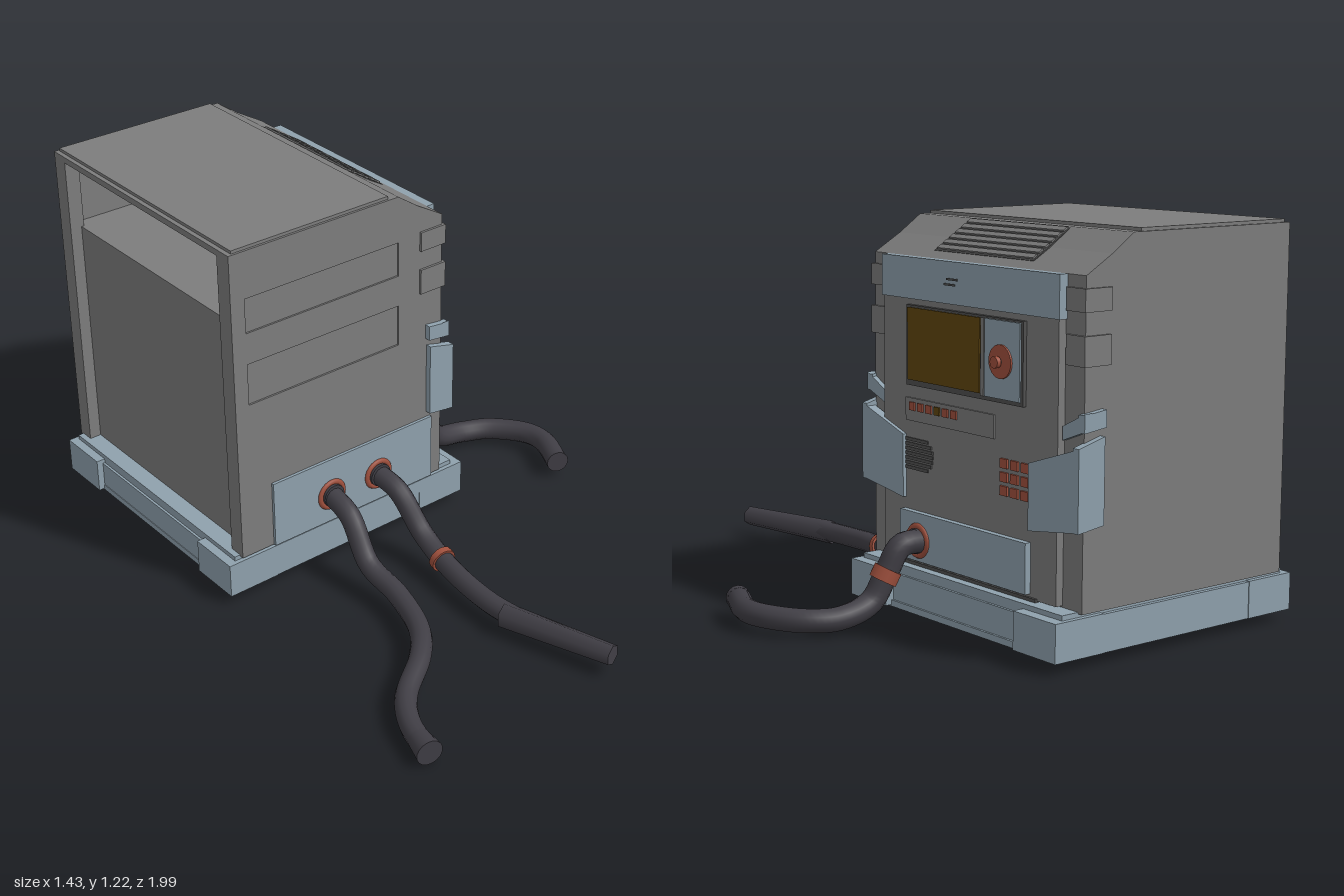
import * as THREE from 'three';

const mat = (name, color) => {
  const m = new THREE.MeshStandardMaterial({ color });
  m.name = name;
  return m;
};

export function createModel() {
  const gray = mat('casing gray', 0x7d7d7d);
  const blue = mat('pale blue metal', 0x8fa1ad);
  const dark = mat('dark rubber', 0x403e45);
  const copper = mat('copper red', 0xa0503d);
  const amber = mat('amber screen', 0x60460f);
  const slate = mat('slot gray', 0x505050);
  const root = new THREE.Group();

  const add = (name, geo, material, parent = root) => {
    const m = new THREE.Mesh(geo, material);
    m.name = name;
    parent.add(m);
    return m;
  };
  // box from its limits on each axis
  const box = (name, material, x0, x1, y0, y1, z0, z1, parent = root) => {
    const m = add(name, new THREE.BoxGeometry(x1 - x0, y1 - y0, z1 - z0), material, parent);
    m.position.set((x0 + x1) / 2, (y0 + y1) / 2, (z0 + z1) / 2);
    return m;
  };
  const toPoints = pts => pts.map(p => new THREE.Vector2(...p));
  const extrude = (pts, depth, holes = []) => {
    const shape = new THREE.Shape(toPoints(pts));
    shape.holes = holes.map(h => new THREE.Path(toPoints(h)));
    return new THREE.ExtrudeGeometry(shape, { depth, bevelEnabled: false });
  };
  // side outline (x, y) extruded along z
  const prismZ = (name, material, pts, z0, z1, holes) =>
    add(name, extrude(pts, z1 - z0, holes).translate(0, 0, z0), material);
  // outline (-z, y) extruded along x
  const prismX = (name, material, pts, x0, x1) =>
    add(name, extrude(pts, x1 - x0).rotateY(Math.PI / 2).translate(x0, 0, 0), material);

  // Base tray with corner blocks and rails
  box('baseFoot', blue, -0.66, 0.25, 0.03, 0.05, -0.96, -0.04);
  box('baseTray', blue, -0.65, 0.235, 0.05, 0.165, -0.965, -0.035);
  box('baseRail', blue, -0.658, 0.243, 0.045, 0.135, -0.97, -0.03);
  for (const [x0, x1] of [[-0.68, -0.5], [0.09, 0.272]])
    for (const [z0, z1] of [[-0.98, -0.8], [-0.2, -0.02]])
      box('baseCorner', blue, x0, x1, 0.035, 0.15, z0, z1);
  box('baseFrontRail', blue, -0.6, 0.2, 0.035, 0.148, -0.04, -0.022);
  box('baseBackRail', blue, -0.6, 0.2, 0.035, 0.148, -0.978, -0.96);

  // Casing: core with a shelf recess at the rear, between two side walls
  const slope = [[0.175, 1.105], [0.08, 1.16], [0, 1.215], [-0.63, 1.215]];
  prismZ('casingCore', gray, [[-0.59, 0.16], [0.175, 0.16], ...slope,
    [-0.63, 1.195], [-0.3, 1.195], [-0.3, 0.96], [-0.59, 0.96]], -0.96, -0.04);
  const wall = [[-0.63, 0.16], [0.175, 0.16], ...slope];
  // the left wall has two shallow sunk panels
  const sunk = [[0.945, 1.06], [0.7, 0.84]].map(([y0, y1]) =>
    [[-0.58, y0], [-0.58, y1], [0, y1], [0, y0]]);
  prismZ('leftWall', gray, wall, -0.04, -0.026);
  prismZ('leftWallSkin', gray, wall, -0.026, -0.02, sunk);
  prismZ('rightWall', gray, wall, -0.98, -0.96);
  for (const z of [-0.96, -0.08])
    box('rearRim', gray, -0.63, -0.58, 0.16, 1.2, z, z + 0.04);
  box('topPlate', gray, -0.615, -0.035, 1.21, 1.225, -0.972, -0.028);
  box('hosePlate', blue, -0.51, 0.13, 0.16, 0.39, -0.022, -0.01);

  // Control face
  box('controlFace', gray, 0.17, 0.2, 0.17, 1.0, -0.9, -0.1);
  box('headerPlate', blue, 0.165, 0.204, 0.98, 1.105, -0.905, -0.093);
  box('headerMark', slate, 0.2, 0.207, 1.05, 1.056, -0.46, -0.41);
  box('headerMark', slate, 0.2, 0.207, 1.034, 1.04, -0.45, -0.4);
  box('hoseSocketPlate', blue, 0.19, 0.22, 0.185, 0.335, -0.79, -0.205);
  box('lowerSill', slate, 0.19, 0.208, 0.166, 0.176, -0.82, -0.18);

  // Screen and dial
  box('screenBezel', slate, 0.19, 0.212, 0.72, 0.963, -0.765, -0.228);
  box('screen', amber, 0.21, 0.216, 0.737, 0.956, -0.576, -0.236);
  box('screenDivider', gray, 0.21, 0.215, 0.73, 0.957, -0.594, -0.58);
  box('dialPlate', blue, 0.21, 0.217, 0.732, 0.957, -0.755, -0.6);
  const turned = (name, r, len, x, material) => {
    const m = add(name, new THREE.CylinderGeometry(r, r, len, 24), material);
    m.rotation.z = -Math.PI / 2;
    m.position.set(x, 0.84, -0.675);
  };
  turned('dial', 0.049, 0.01, 0.218, copper);
  turned('dialStem', 0.009, 0.016, 0.226, slate);
  turned('dialKnob', 0.017, 0.014, 0.238, copper);

  // Button strip, keypad and speaker
  box('buttonStrip', gray, 0.195, 0.206, 0.61, 0.68, -0.63, -0.215);
  for (let i = 0; i < 6; i++) {
    const z = -0.25 - i * 0.04;
    box('button', i === 3 ? amber : copper, 0.203, 0.211, 0.643, 0.668, z - 0.013, z + 0.013);
  }
  for (let r = 0; r < 3; r++) for (let c = 0; c < 3; c++) {
    const z = -0.675 - c * 0.046, y = 0.545 - r * 0.04;
    box('key', copper, 0.198, 0.207, y - 0.014, y + 0.014, z - 0.016, z + 0.016);
  }
  for (let i = 0; i < 7; i++) {
    const y = 0.465 + i * 0.0145, cut = 0.05 - Math.sqrt(0.0025 - ((i - 3) * 0.0145) ** 2);
    box('speakerSlot', slate, 0.198, 0.204, y - 0.005, y + 0.005, -0.345 + cut, -0.21);
  }

  // Slatted vent set into the sloped top edge
  const vent = new THREE.Group();
  vent.name = 'topVent';
  vent.position.set(0.071, 1.167, -0.5);
  vent.rotation.z = -Math.atan2(0.11, 0.175);
  root.add(vent);
  box('ventBed', slate, -0.083, 0.083, -0.01, 0.003, -0.225, 0.225, vent);
  for (let i = 0; i < 6; i++) {
    const x = -0.068 + i * 0.027;
    box('ventSlat', gray, x - 0.009, x + 0.009, 0, 0.008, -0.218, 0.218, vent);
  }

  // Corner blocks and wrap-round brackets on both edges of the control face
  for (const far of [false, true]) {
    const u = pts => pts.map(([a, y]) => [far ? 1 - a : a, y]);
    const zr = (a, b) => far ? [-1 + a, -1 + b] : [-b, -a];
    for (const [y0, y1] of [[1.005, 1.07], [0.855, 0.94]])
      box('cornerBlock', gray, 0.085, 0.184, y0, y1, ...zr(0.012, 0.09));
    prismX('bracketFace', blue, u([[0, 0.635], [0.21, 0.565], [0.21, 0.37], [0, 0.4]]), 0.18, 0.212);
    prismZ('bracketReturn', blue, [[0.115, 0.66], [0.212, 0.635], [0.212, 0.397], [0.115, 0.41]], ...zr(0, 0.025));
    prismX('clipFace', blue, u([[0, 0.73], [0.09, 0.685], [0.09, 0.645], [0, 0.68]]), 0.165, 0.192);
    prismZ('clipReturn', blue, [[0.11, 0.735], [0.192, 0.725], [0.192, 0.675], [0.11, 0.685]], ...zr(0, 0.025));
  }

  // Hoses: tube along a curve, with collars set along it
  const hose = (name, pts, r) => {
    const curve = new THREE.CatmullRomCurve3(pts.map(p => new THREE.Vector3(...p)));
    add(name, new THREE.TubeGeometry(curve, 48, r, 12), dark);
    return curve;
  };
  const collar = (name, curve, t, r0, r1, len, material) => {
    const m = add(name, new THREE.CylinderGeometry(r1, r0, len, 16), material);
    m.position.copy(curve.getPointAt(t));
    m.quaternion.setFromUnitVectors(new THREE.Vector3(0, 1, 0), curve.getTangentAt(t));
  };
  const socket = (x, y, z, turn) => {
    const ring = add('socketRing', new THREE.TorusGeometry(0.045, 0.01, 8, 24), copper);
    ring.scale.z = 0.7;
    ring.position.set(x, y, z);
    ring.rotation.y = turn;
    const plug = add('socketPlug', new THREE.CylinderGeometry(0.039, 0.039, 0.03, 20), dark);
    plug.rotation.set(turn ? 0 : Math.PI / 2, 0, turn ? Math.PI / 2 : 0);
    plug.position.set(x, y, z);
  };
  socket(-0.285, 0.26, -0.009, 0);
  socket(-0.095, 0.26, -0.009, 0);
  socket(0.222, 0.25, -0.295, Math.PI / 2);

  const a = hose('longHose', [[-0.285, 0.26, -0.02], [-0.29, 0.23, 0.09], [-0.302, 0.11, 0.2], [-0.302, 0.075, 0.34],
    [-0.36, 0.065, 0.52], [-0.44, 0.062, 0.615], [-0.58, 0.052, 0.72], [-0.645, 0.045, 0.82], [-0.675, 0.042, 0.935]], 0.034);
  collar('longHoseEnd', a, 0.975, 0.034, 0.042, 0.07, dark);

  const b = hose('middleHose', [[-0.095, 0.26, -0.02], [-0.085, 0.235, 0.08], [-0.068, 0.12, 0.18], [-0.075, 0.08, 0.28],
    [-0.095, 0.07, 0.42], [-0.1, 0.065, 0.56], [-0.09, 0.065, 0.66]], 0.034);
  collar('middleHoseCollar', b, 0.505, 0.042, 0.042, 0.022, copper);
  const tail = add('middleHoseTail', new THREE.CylinderGeometry(0.034, 0.042, 0.38, 6), dark);
  tail.geometry.rotateX(Math.PI / 2);
  tail.position.set(-0.05, 0.066, 0.8);
  tail.rotation.set(-0.03, 0.29, 0);

  const c = hose('sideHose', [[0.21, 0.25, -0.3], [0.29, 0.245, -0.3], [0.335, 0.17, -0.29], [0.385, 0.085, -0.28],
    [0.5, 0.052, -0.28], [0.59, 0.05, -0.24], [0.67, 0.055, -0.13], [0.68, 0.057, -0.05], [0.625, 0.058, 0.085]], 0.037);
  collar('sideHoseCollar', c, 0.21, 0.044, 0.044, 0.04, copper);
  collar('sideHoseEnd', c, 0.99, 0.037, 0.038, 0.025, dark);
  return root;
}
